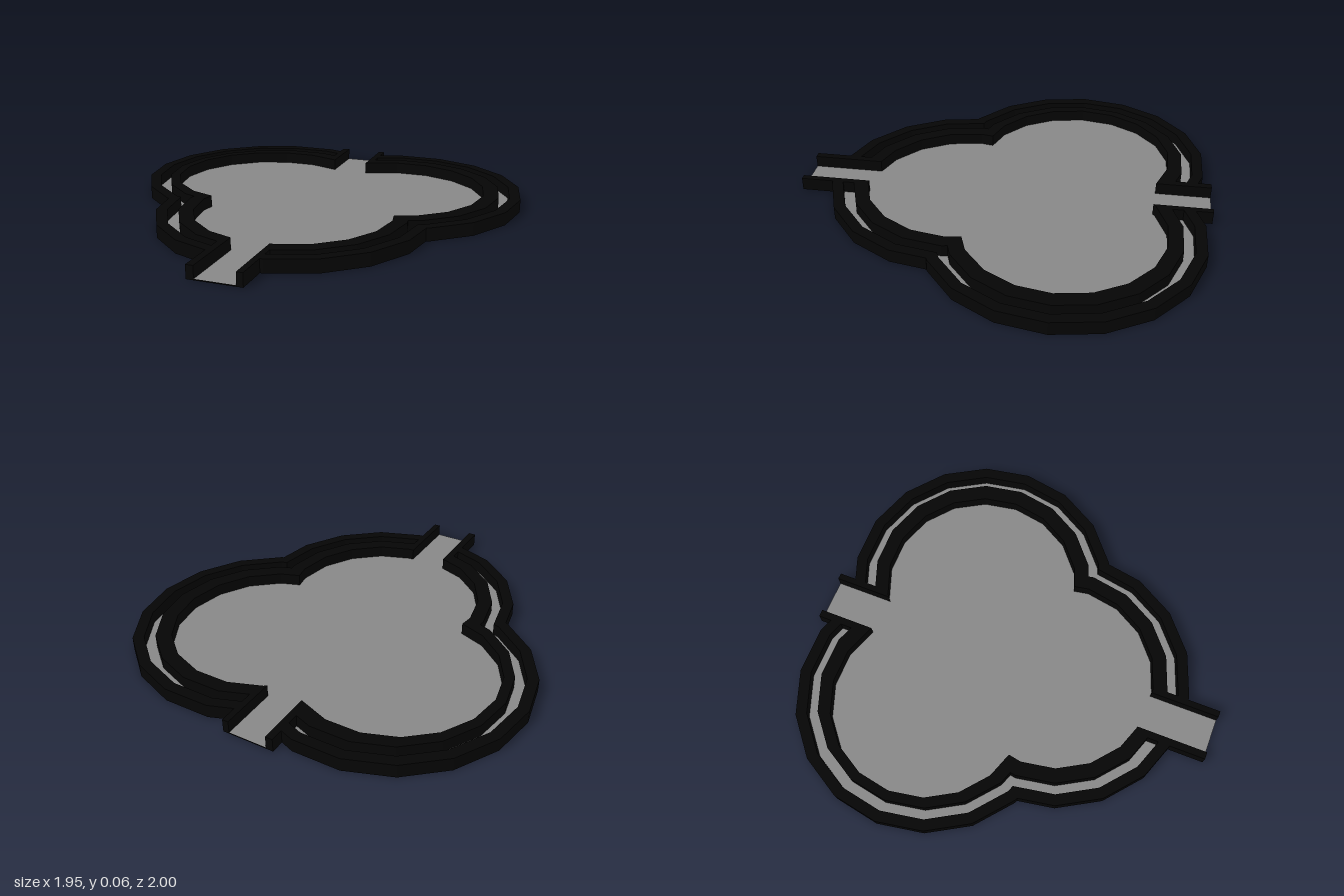
import * as THREE from 'three';

const HEIGHT = 0.063, FLOOR = 0.006;

// Part of an 18-sided circle, as [x, z] points; degrees run from +x towards +z.
function arc(cx, cz, r, from, to) {
  const pts = [];
  for (let d = from; d <= to; d += 20) {
    const a = THREE.MathUtils.degToRad(d);
    pts.push([cx + r * Math.cos(a), cz + r * Math.sin(a)]);
  }
  return pts;
}

// Follow polyline a up to where it first crosses b, then follow b.
function join(a, b) {
  for (let i = 0; i < a.length - 1; i++) {
    for (let j = 0; j < b.length - 1; j++) {
      const [px, pz] = a[i], [qx, qz] = b[j];
      const ux = a[i + 1][0] - px, uz = a[i + 1][1] - pz;
      const vx = b[j + 1][0] - qx, vz = b[j + 1][1] - qz;
      const det = ux * vz - uz * vx;
      if (Math.abs(det) < 1e-9) continue;
      const s = ((qx - px) * vz - (qz - pz) * vx) / det;
      const t = ((qx - px) * uz - (qz - pz) * ux) / det;
      if (s >= 0 && s <= 1 && t >= 0 && t <= 1) {
        return [...a.slice(0, i + 1), [px + s * ux, pz + s * uz], ...b.slice(j + 1)];
      }
    }
  }
  return [...a, ...b];
}

// One half of the three-lobed outline, from the back channel to the front one.
function half(side, r, clip, cx = 0.327) {
  let line = join([[clip, -1], [clip, 0]], arc(cx, -0.32, r, -140, 80));
  line = join(line, arc(0, 0.2, r, -20, 100));
  line = join(line, [[clip, 0], [clip, 1]]);
  return line.map(([x, z]) => [side * x, z]);
}

const toShape = (pts) => new THREE.Shape(pts.map(([x, z]) => new THREE.Vector2(x, -z)));

export function createModel() {
  const group = new THREE.Group();
  const black = new THREE.MeshStandardMaterial({ color: 0x050505, flatShading: true });
  const grey = new THREE.MeshStandardMaterial({ color: 0x888888, side: THREE.DoubleSide });

  const add = (name, geometry, material) => {
    const mesh = new THREE.Mesh(geometry, material);
    mesh.name = name;
    group.add(mesh);
    return mesh;
  };
  const slab = (name, pts, depth) => {
    const g = new THREE.ExtrudeGeometry(toShape(pts), { depth, bevelEnabled: false });
    return add(name, g.rotateX(-Math.PI / 2), black);
  };
  const outline = (r, right, left) => [...half(1, r, right), ...half(-1, r, left).reverse()];

  // Thin base and the grey floor, both running out through the channels
  slab('base', outline(0.65, 0.1, 0.15), FLOOR - 0.002);
  const floor = new THREE.ShapeGeometry(toShape(outline(0.62, 0.085, 0.13)));
  add('floor', floor.rotateX(-Math.PI / 2).translate(0, FLOOR, 0), grey);

  // The channel sits slightly to the right, so each side has its own offsets
  const sides = [
    { name: 'left', side: 1, inner: 0.07, outer: 0.1, lobe: 0.32 },
    { name: 'right', side: -1, inner: 0.115, outer: 0.15, lobe: 0.35 },
  ];
  for (const { name, side, inner, outer, lobe } of sides) {
    // Two concentric walls following the lobes
    const band = (label, r1, r2, cx2) => {
      const a = half(side, r1, inner).slice(1, -1);
      const b = half(side, r2, inner, cx2).slice(1, -1);
      slab(label, [...a, ...b.reverse()], HEIGHT);
    };
    band(`${name}OuterWall`, 0.65, 0.597);
    band(`${name}InnerWall`, 0.545, 0.475, lobe);

    // Straight walls beside the back and front channels
    for (const [end, z0, z1] of [['Back', -1, -0.745], ['Front', 0.665, 1]]) {
      const box = new THREE.BoxGeometry(outer - inner, HEIGHT, z1 - z0);
      add(`${name}${end}ChannelWall`, box, black)
        .position.set(side * (inner + outer) / 2, HEIGHT / 2, (z0 + z1) / 2);
    }
  }
  return group;
}
